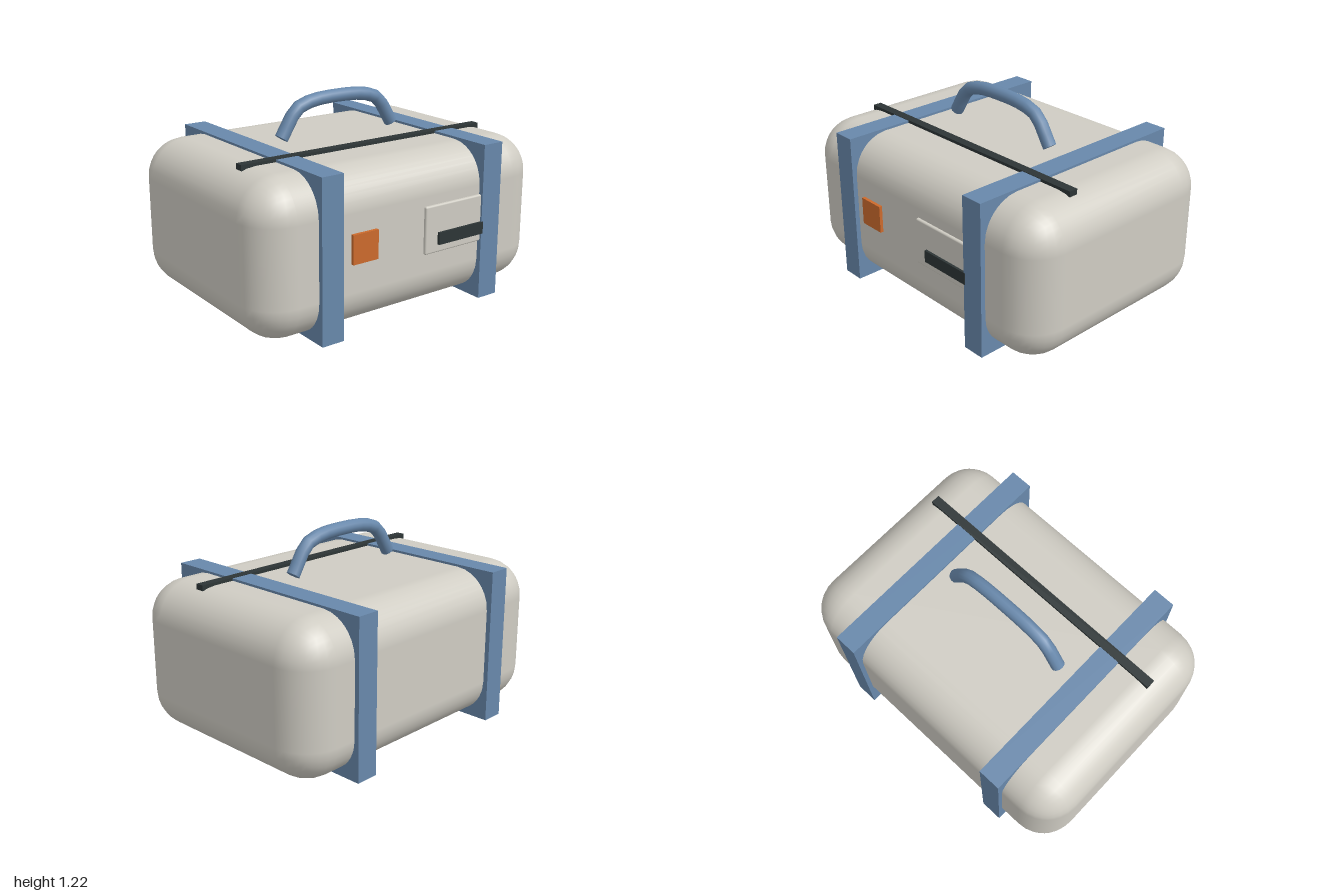
import * as THREE from 'three';
import { RoundedBoxGeometry } from 'three/addons/geometries/RoundedBoxGeometry.js';

function material(name, color) {
  const m = new THREE.MeshStandardMaterial({ color });
  m.name = name;
  return m;
}

export function createModel() {
  const bag = new THREE.Group();
  bag.name = 'travelBag';

  const canvas = material('warm grey canvas', 0xcfccc3);
  const webbing = material('blue webbing', 0x6888ab);
  const dark = material('charcoal', 0x2d3536);
  const orange = material('orange tag', 0xcc6a2c);

  function add(name, geometry, mat, x = 0, y = 0, z = 0) {
    const mesh = new THREE.Mesh(geometry, mat);
    mesh.name = name;
    mesh.position.set(x, y, z);
    bag.add(mesh);
    return mesh;
  }
  const box = (w, h, d) => new THREE.BoxGeometry(w, h, d);

  // Soft-cornered body
  add('body', new RoundedBoxGeometry(2, 0.915, 1.426, 4, 0.23), canvas, 0, 0.4735, 0);

  // Straps wrapping the body
  for (const [name, side] of [['leftStrap', 1], ['rightStrap', -1]]) {
    add(name, box(0.14, 0.945, 1.484), webbing, side * 0.57, 0.4725, 0);
  }

  // Zip along the top
  add('topZip', box(1.715, 0.033, 0.055), dark, 0, 0.932, 0.283);

  // Front pocket with its zip, and the tag
  add('frontPocket', new RoundedBoxGeometry(0.52, 0.285, 0.05, 2, 0.01), canvas, 0.34, 0.503, 0.705);
  add('pocketZip', box(0.34, 0.073, 0.03), dark, 0.34, 0.445, 0.73);
  add('frontTag', box(0.17, 0.17, 0.04), orange, -0.345, 0.503, 0.713);

  // Arched carrying handle with closed ends
  const arch = [
    [-0.404, 0.966], [-0.294, 1.126], [-0.193, 1.163], [0, 1.175],
    [0.193, 1.163], [0.294, 1.126], [0.404, 0.966],
  ].map(([x, y]) => new THREE.Vector3(x, y, 0));
  const path = new THREE.CatmullRomCurve3(arch);
  const radius = 0.041;
  add('handle', new THREE.TubeGeometry(path, 14, radius, 12), webbing);
  for (const [t, sign] of [[0, -1], [1, 1]]) {
    const end = path.getPointAt(t);
    const cap = add('handleEnd', new THREE.CircleGeometry(radius, 12), webbing, end.x, end.y, end.z);
    cap.quaternion.setFromUnitVectors(
      new THREE.Vector3(0, 0, 1),
      path.getTangentAt(t).multiplyScalar(sign),
    );
  }

  return bag;
}
